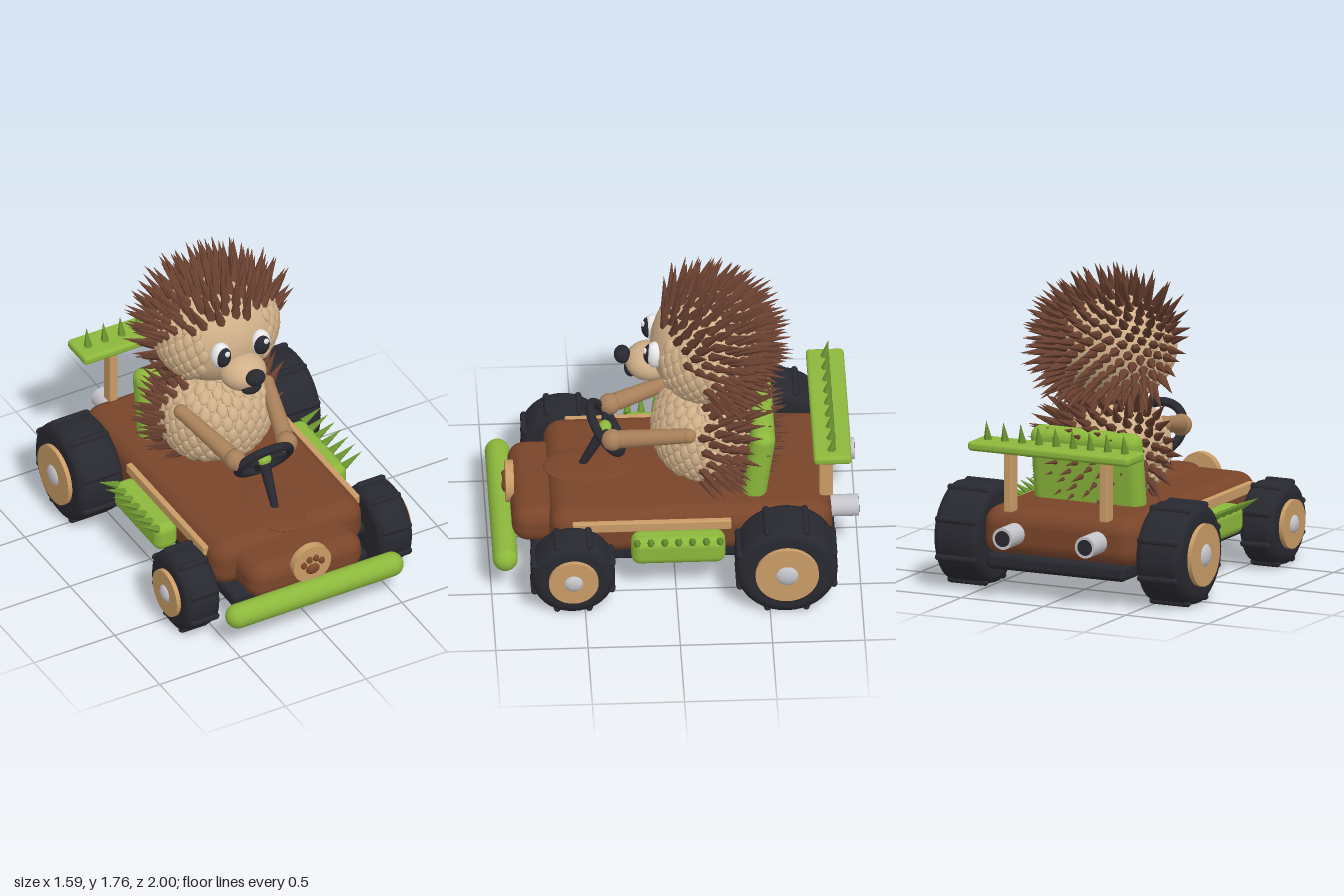
import * as THREE from 'three';
import { mergeGeometries } from 'three/addons/utils/BufferGeometryUtils.js';
import { RoundedBoxGeometry } from 'three/addons/geometries/RoundedBoxGeometry.js';

const V = (x, y, z) => new THREE.Vector3(x, y, z);
const UP = V(0, 1, 0);
const paint = (name, color) => {
  const m = new THREE.MeshStandardMaterial({ color });
  m.name = name;
  return m;
};

export function createModel() {
  const model = new THREE.Group();
  model.name = 'hedgehogKart';
  const brown = paint('bodyBrown', 0x7a452a), quillBrown = paint('quillBrown', 0x694030);
  const fur = paint('furTan', 0xd0b089), skin = paint('armTan', 0xa8805a);
  const wood = paint('wood', 0xc99c66), green = paint('leafGreen', 0x8cb83c);
  const thorn = paint('thornGreen', 0x6b9430), dark = paint('rubber', 0x282830);
  const metal = paint('metal', 0xc4c4ca), white = paint('white', 0xf4f4f4);

  let seed = 7;
  const rand = () => (seed = (seed * 16807) % 2147483647) / 2147483647;

  // Helpers
  const add = (name, geo, mat, x = 0, y = 0, z = 0, parent = model) => {
    const m = new THREE.Mesh(geo, mat);
    m.name = name;
    m.position.set(x, y, z);
    parent.add(m);
    return m;
  };
  const box = (name, mat, w, h, d, r, x, y, z) =>
    add(name, new RoundedBoxGeometry(w, h, d, 5, r), mat, x, y, z);
  const ball = (name, mat, rx, ry, rz, x, y, z, parent) =>
    add(name, new THREE.SphereGeometry(1, 32, 22).scale(rx, ry, rz), mat, x, y, z, parent);
  const rod = (name, mat, a, b, ra, rb, sides = 20, parent = model) => {
    const d = b.clone().sub(a);
    const m = add(name, new THREE.CylinderGeometry(rb, ra, d.length(), sides), mat, 0, 0, 0, parent);
    m.position.copy(a).addScaledVector(d, 0.5);
    m.quaternion.setFromUnitVectors(UP, d.normalize());
    return m;
  };
  // Faceted cone standing at p and pointing along dir
  const spikeGeo = (p, dir, len, r) => {
    const g = new THREE.ConeGeometry(r, len, 6).translate(0, len / 2, 0).toNonIndexed();
    g.applyQuaternion(new THREE.Quaternion().setFromUnitVectors(UP, dir.clone().normalize()));
    g.translate(p.x, p.y, p.z);
    g.computeVertexNormals();
    return g;
  };
  // Evenly spread points on an ellipsoid
  const spread = (n, c, r, visit) => {
    for (let i = 0; i < n; i++) {
      const y = 1 - (2 * i + 1) / n, s = Math.sqrt(1 - y * y), a = i * 2.399963;
      const u = V(Math.cos(a) * s, y, Math.sin(a) * s);
      visit(u.clone().multiply(r).add(c), u.clone().divide(r).normalize());
    }
  };

  // Kart body
  box('floor', dark, 0.84, 0.09, 1.65, 0.03, 0, 0.205, -0.045);
  box('chassis', brown, 0.93, 0.28, 1.53, 0.1, 0, 0.36, -0.085);
  box('noseCone', brown, 0.7, 0.22, 0.45, 0.09, 0, 0.33, 0.655);
  ball('hoodBulge', brown, 0.16, 0.025, 0.25, 0, 0.492, 0.45);
  const bumper = add('frontBumper', new THREE.CapsuleGeometry(0.068, 0.95, 10, 24), green, 0, 0.238, 0.925);
  bumper.rotation.z = Math.PI / 2;

  // Paw badge
  rod('badge', wood, V(0, 0.4, 0.86), V(0, 0.4, 0.905), 0.115, 0.115, 36);
  ball('pawPad', brown, 0.042, 0.032, 0.02, 0, 0.372, 0.905);
  for (const [x, y] of [[-0.055, 0.41], [-0.02, 0.437], [0.02, 0.437], [0.055, 0.41]])
    ball('pawToe', brown, 0.018, 0.021, 0.018, x, y, 0.905);

  // Wheels
  const wheel = (name, side, y, z, R, xIn, xOut, hubR, capR) => {
    const g = new THREE.Group();
    g.name = name;
    const w = xOut - xIn, h = w / 2, b = 0.035;
    const profile = [[0.001, -h], [R - b - 0.02, -h], [R - b, -h + 0.004], [R - 0.008, -h + b * 0.6], [R, -h + b * 1.4],
      [R, h - b * 1.4], [R - 0.008, h - b * 0.6], [R - b, h - 0.004], [R - b - 0.02, h], [0.001, h]];
    const tyre = add('tyre', new THREE.LatheGeometry(profile.map(p => new THREE.Vector2(...p)), 40), dark, 0, 0, 0, g);
    tyre.rotation.z = Math.PI / 2;
    for (let i = 0; i < 8; i++) {
      const a = (i + 0.5) * Math.PI / 4;
      const lug = add('tread', new THREE.CapsuleGeometry(0.02, w - 0.07, 4, 8), dark,
        0, Math.cos(a) * (R - 0.002), Math.sin(a) * (R - 0.002), g);
      lug.rotation.z = Math.PI / 2;
    }
    rod('hub', wood, V(side * (h - 0.02), 0, 0), V(side * (h + 0.025), 0, 0), hubR, hubR, 36, g);
    ball('hubCap', metal, 0.035, capR, capR, side * (h + 0.01), 0, 0, g);
    g.position.set(side * (xIn + h), y, z);
    model.add(g);
  };
  for (const s of [-1, 1]) {
    wheel('frontWheel', s, 0.245, 0.565, 0.228, 0.492, 0.702, 0.135, 0.056);
    wheel('rearWheel', s, 0.297, -0.59, 0.277, 0.475, 0.752, 0.172, 0.067);
    rod('frontAxle', dark, V(s * 0.3, 0.245, 0.565), V(s * 0.55, 0.245, 0.565), 0.035, 0.035);
    rod('rearAxle', dark, V(s * 0.3, 0.297, -0.59), V(s * 0.55, 0.297, -0.59), 0.04, 0.04);

    // Side rails and thorny side pods
    box('sideRail', wood, 0.035, 0.06, 0.86, 0.008, s * 0.468, 0.43, 0.13);
    box('sidePod', green, 0.14, 0.165, 0.51, 0.05, s * 0.525, 0.328, -0.01);
    for (let i = 0; i < 7; i++)
      add('podSpike', spikeGeo(V(s * 0.575, 0.392, 0.215 - i * 0.075), V(s * 0.11, 0.058, 0), 0.13, 0.023), thorn);

    // Exhausts and wing struts
    rod('exhaust', metal, V(s * 0.25, 0.365, -0.78), V(s * 0.25, 0.365, -1), 0.06, 0.06, 28);
    rod('exhaustOpening', dark, V(s * 0.25, 0.365, -0.99), V(s * 0.25, 0.365, -1.002), 0.044, 0.044, 28);
    box('wingStrut', wood, 0.05, 0.36, 0.075, 0.008, s * 0.29, 0.66, -0.822);
  }

  // Rear wing with thorns
  box('wing', green, 0.98, 0.052, 0.205, 0.02, 0, 0.847, -0.85);
  for (let i = 0; i < 9; i++)
    add('wingSpike', spikeGeo(V((i - 4) * 0.104, 0.865, -0.845), V(0, 1, -0.18), 0.118, 0.025), thorn);

  // Seat
  const seat = box('seatBack', green, 0.66, 0.45, 0.13, 0.06, 0, 0.675, -0.46);
  seat.rotation.x = -0.14;

  // Steering
  const steering = new THREE.Group();
  steering.name = 'steeringWheel';
  add('rim', new THREE.TorusGeometry(0.153, 0.025, 14, 40), dark, 0, 0, 0, steering);
  for (const a of [0, Math.PI, -Math.PI / 2])
    rod('spoke', dark, V(0, 0, 0), V(Math.cos(a) * 0.15, Math.sin(a) * 0.15, 0), 0.018, 0.018, 12, steering);
  ball('steeringHub', green, 0.042, 0.036, 0.036, 0, 0.005, 0, steering);
  steering.position.set(0, 0.748, 0.36);
  steering.rotation.x = 0.59;
  model.add(steering);
  rod('steeringColumn', dark, V(0, 0.49, 0.495), V(0, 0.748, 0.36), 0.02, 0.034);

  // Hedgehog torso and head
  const bodyC = V(0, 0.745, -0.18), bodyR = V(0.32, 0.29, 0.285);
  const headC = V(0, 1.31, -0.18), headR = V(0.35, 0.3, 0.3);
  ball('torso', fur, ...bodyR.toArray(), ...bodyC.toArray());
  ball('head', fur, ...headR.toArray(), ...headC.toArray());

  // Overlapping fur tufts and swept-back quills
  const inQuills = {
    head: p => p.z < -0.15 + Math.max(0, p.y - 1.3) * 1.1,
    torso: p => p.z < -0.13,
  };
  const hasTuft = {
    head: p => Math.abs(p.x) > 0.19 && p.y < 1.47 && p.z > -0.3,
    torso: p => p.y > 0.55 && p.z > -0.25,
  };
  const tuft = (p, n) => {
    const g = new THREE.SphereGeometry(1, 10, 8).scale(0.031, 0.043, 0.015);
    const m = new THREE.Matrix4().lookAt(n, V(0, 0, 0), UP);
    return g.applyMatrix4(m).translate(p.x, p.y, p.z);
  };
  for (const [part, c, r, count] of [['head', headC, headR, 330], ['torso', bodyC, bodyR, 270]]) {
    const tufts = [], quills = [];
    spread(count, c, r, (p, n) => {
      if (hasTuft[part](p)) tufts.push(tuft(p, n));
    });
    spread(count, c, r, (p, n) => {
      if (!inQuills[part](p) || p.y < 0.53) return;
      const dir = n.clone().add(V((rand() - 0.5) * 0.2, 0.12 + (rand() - 0.5) * 0.2, -0.7));
      quills.push(spikeGeo(p.addScaledVector(n, -0.02), dir, 0.17 + rand() * 0.045, 0.031));
    });
    add(part + 'Tufts', mergeGeometries(tufts), fur);
    add(part + 'Quills', mergeGeometries(quills), quillBrown);
  }

  // Face
  ball('muzzle', fur, 0.13, 0.1, 0.13, 0, 1.2, 0.125);
  ball('nose', dark, 0.056, 0.047, 0.045, 0, 1.247, 0.27);
  ball('mouth', dark, 0.06, 0.042, 0.035, 0, 1.155, 0.225);
  for (const s of [-1, 1]) {
    ball('eyeWhite', white, 0.058, 0.077, 0.05, s * 0.123, 1.333, 0.1);
    ball('pupil', dark, 0.049, 0.066, 0.048, s * 0.12, 1.333, 0.113);
    ball('eyeGlint', white, 0.016, 0.018, 0.01, s * 0.12 + 0.012, 1.366, 0.152);

    // Arms and paws
    const shoulder = V(s * 0.265, 0.88, -0.08), hand = V(s * 0.168, 0.795, 0.29);
    rod('arm', skin, shoulder, hand, 0.04, 0.05);
    ball('shoulder', skin, 0.042, 0.042, 0.042, ...shoulder.toArray());
    ball('paw', skin, 0.058, 0.06, 0.06, s * 0.16, 0.785, 0.33);
  }
  return model;
}
